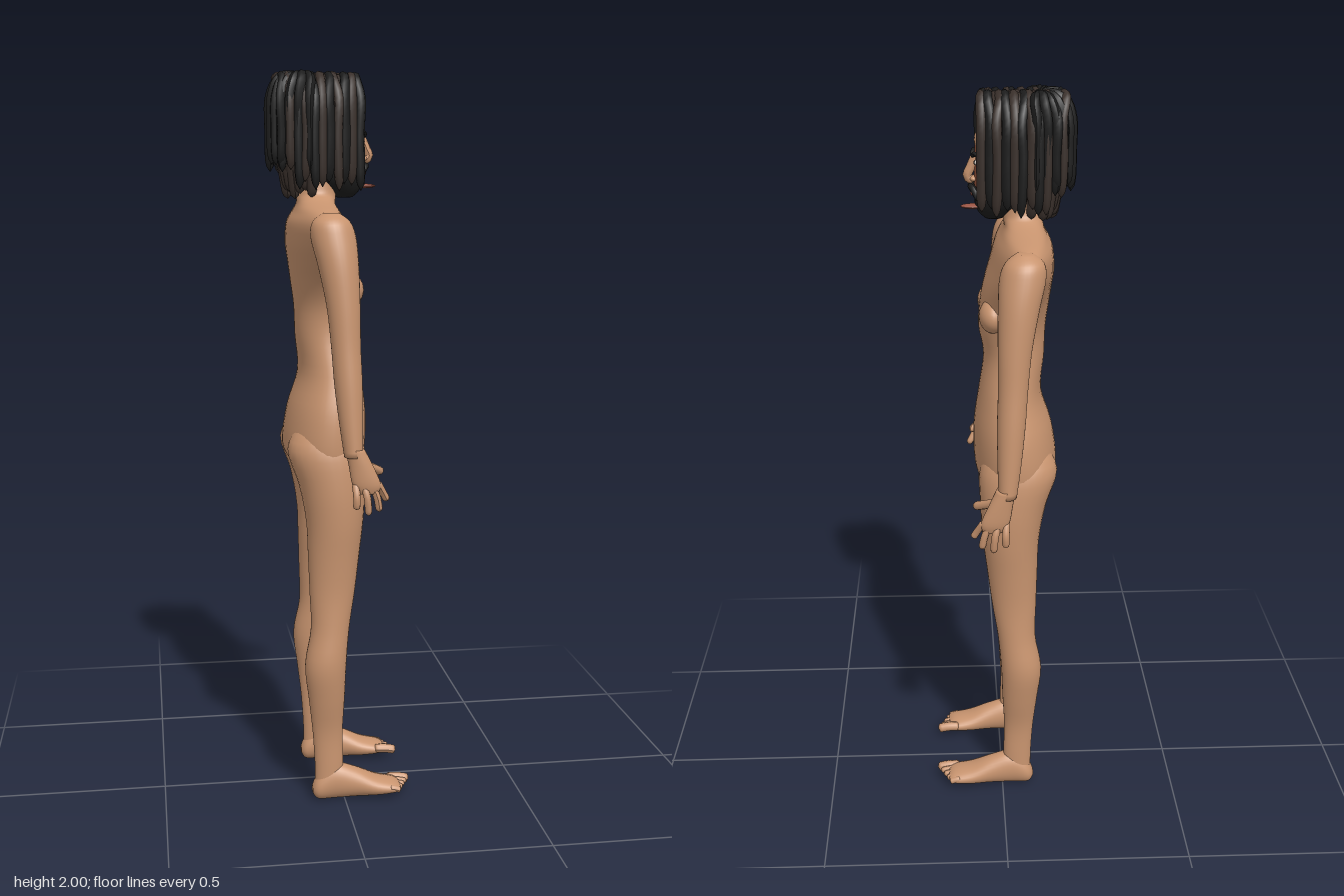
import * as THREE from 'three';
import { mergeGeometries } from 'three/addons/utils/BufferGeometryUtils.js';

const mat = (name, color) => {
  const m = new THREE.MeshStandardMaterial({ color });
  m.name = name;
  return m;
};

// Smooth body from stacked elliptical rings [y, centreX, centreZ, radiusX, radiusZ], y ascending
function loft(rings, sides = 32, steps = 4) {
  const rows = [];
  const at = (i) => rings[Math.min(rings.length - 1, Math.max(0, i))];
  for (let i = 0; i < rings.length - 1; i++) {
    for (let k = 0; k < steps; k++) {
      const t = k / steps;
      rows.push(at(i).map((b, d) => {
        const a = at(i - 1)[d], c = at(i + 1)[d], e = at(i + 2)[d];
        return b + 0.5 * t * (c - a + t * (2 * a - 5 * b + 4 * c - e + t * (3 * (b - c) + e - a)));
      }));
    }
  }
  rows.push(at(rings.length));
  const pos = [], idx = [];
  for (const [y, cx, cz, rx, rz] of rows) {
    for (let j = 0; j < sides; j++) {
      const t = (j / sides) * Math.PI * 2;
      pos.push(cx + rx * Math.cos(t), y, cz + rz * Math.sin(t));
    }
  }
  for (let i = 0; i < rows.length - 1; i++) {
    for (let j = 0; j < sides; j++) {
      const a = i * sides + j, b = i * sides + ((j + 1) % sides);
      idx.push(a, a + sides, b, b, a + sides, b + sides);
    }
  }
  // close both ends
  const n = rows.length, last = (n - 1) * sides;
  pos.push(rows[0][1], rows[0][0], rows[0][2], rows[n - 1][1], rows[n - 1][0], rows[n - 1][2]);
  for (let j = 0; j < sides; j++) {
    const k = (j + 1) % sides;
    idx.push(n * sides, j, k, n * sides + 1, last + k, last + j);
  }
  const g = new THREE.BufferGeometry();
  g.setAttribute('position', new THREE.Float32BufferAttribute(pos, 3));
  g.setIndex(idx);
  g.computeVertexNormals();
  return g;
}

// Round-ended strand through a few points
function strand(points, r, seg = 14, sides = 8) {
  const curve = new THREE.CatmullRomCurve3(points.map((p) => new THREE.Vector3(...p)));
  const g = new THREE.TubeGeometry(curve, seg, r, sides);
  const p = g.attributes.position, v = new THREE.Vector3();
  for (let i = 0; i <= seg; i++) {
    const u = i / seg, c = curve.getPointAt(u);
    const f = Math.sqrt(Math.max(0, 1 - (Math.max(0, Math.abs(2 * u - 1) - 0.7) / 0.3) ** 2));
    for (let j = 0; j <= sides; j++) {
      const k = i * (sides + 1) + j;
      v.fromBufferAttribute(p, k).sub(c).multiplyScalar(f).add(c);
      p.setXYZ(k, v.x, v.y, v.z);
    }
  }
  g.computeVertexNormals();
  return g;
}

const ball = (x, y, z, rx, ry, rz) =>
  new THREE.SphereGeometry(1, 24, 16).scale(rx, ry, rz).translate(x, y, z);

export function createModel() {
  const root = new THREE.Group();
  const skin = mat('skin', 0xc8946f), faceTone = mat('faceTone', 0x96553d);
  const hairDark = mat('hairDark', 0x1c1c1c), hairBrown = mat('hairBrown', 0x3a302b);
  const lipTone = mat('lip', 0x9a5545), white = mat('eyeWhite', 0xd8d0c8);
  const add = (name, geo, material) => {
    const m = new THREE.Mesh(geo, material);
    m.name = name;
    root.add(m);
  };

  // Torso, shoulders and neck
  add('torso', loft([
    [0.91, -0.03, 0, 0.06, 0.12], [0.95, -0.035, 0, 0.095, 0.175], [1.0, -0.04, 0, 0.113, 0.19],
    [1.1, -0.033, 0, 0.107, 0.183], [1.2, -0.025, 0, 0.085, 0.15], [1.3, -0.035, 0, 0.082, 0.117],
    [1.38, -0.03, 0, 0.09, 0.118], [1.45, -0.037, 0, 0.092, 0.15], [1.5, -0.045, 0, 0.09, 0.195],
    [1.55, -0.055, 0, 0.085, 0.24], [1.6, -0.06, 0, 0.075, 0.262], [1.63, -0.06, 0, 0.06, 0.235],
    [1.65, -0.06, 0, 0.052, 0.13], [1.665, -0.058, 0, 0.052, 0.075], [1.69, -0.055, 0, 0.052, 0.052],
    [1.77, -0.05, 0, 0.05, 0.05]], 48), skin);

  for (const s of [1, -1]) {
    const side = s > 0 ? 'Far' : 'Near';
    const mz = (rings) => rings.map(([y, x, z, a, b]) => [y, x, z * s, a, b]);
    add('chest' + side, ball(0.022, 1.425, 0.075 * s, 0.038, 0.045, 0.055), skin);

    // Arm and hand
    add('arm' + side, loft(mz([
      [1.02, -0.005, 0.327, 0.024, 0.028], [1.1, -0.01, 0.318, 0.03, 0.033],
      [1.2, -0.015, 0.304, 0.036, 0.04], [1.3, -0.02, 0.293, 0.038, 0.04],
      [1.4, -0.025, 0.282, 0.043, 0.044], [1.5, -0.035, 0.262, 0.052, 0.054],
      [1.57, -0.045, 0.243, 0.058, 0.058], [1.61, -0.05, 0.24, 0.048, 0.045],
      [1.632, -0.05, 0.232, 0.02, 0.02]])), skin);
    add('palm' + side, loft(mz([
      [0.925, 0.032, 0.337, 0.025, 0.01], [0.95, 0.027, 0.337, 0.037, 0.017],
      [1.0, 0.012, 0.334, 0.031, 0.021], [1.04, -0.002, 0.326, 0.025, 0.028]]), 20), skin);
    [[0, 0.885, 0.347], [0.032, 0.868, 0.345], [0.062, 0.875, 0.335], [0.085, 0.9, 0.318]].forEach(([x, y, z], i) =>
      add('finger' + side, strand([[-0.002 + 0.019 * i, 0.955, 0.336 * s],
        [x * 0.6 + 0.008 * i, 0.918, (z + 0.004) * s], [x, y, z * s]], 0.0095), skin));
    add('thumb' + side, strand([[0.012, 1.005, 0.325 * s], [0.045, 0.985, 0.295 * s], [0.08, 0.965, 0.262 * s]], 0.012), skin);

    // Leg
    add('leg' + side, loft(mz([
      [0.04, -0.045, 0.137, 0.038, 0.028], [0.1, -0.043, 0.137, 0.04, 0.027],
      [0.2, -0.047, 0.137, 0.042, 0.028], [0.3, -0.05, 0.142, 0.05, 0.042],
      [0.4, -0.053, 0.145, 0.057, 0.053], [0.5, -0.04, 0.137, 0.053, 0.05],
      [0.6, -0.033, 0.128, 0.062, 0.053], [0.7, -0.028, 0.12, 0.07, 0.066],
      [0.8, -0.024, 0.115, 0.078, 0.08], [0.9, -0.03, 0.108, 0.09, 0.09],
      [1.0, -0.045, 0.1, 0.105, 0.088], [1.07, -0.045, 0.09, 0.07, 0.06]])), skin);

    // Foot, lofted heel to ball, then toes
    add('foot' + side, loft(mz([
      [-0.09, -0.03, 0.137, 0.01, 0.012], [-0.075, -0.036, 0.137, 0.034, 0.029],
      [-0.03, -0.053, 0.137, 0.052, 0.034], [0.03, -0.046, 0.137, 0.043, 0.038],
      [0.09, -0.033, 0.136, 0.028, 0.045], [0.14, -0.029, 0.135, 0.018, 0.045],
      [0.157, -0.028, 0.135, 0.009, 0.038]])).rotateZ(-Math.PI / 2), skin);
    for (let i = 0; i < 5; i++) {
      const z = (0.1 + 0.018 * i) * s;
      add('toe' + side, strand([[0.125, 0.033, z], [0.16 - 0.006 * i, 0.032, z], [0.192 - 0.009 * i, 0.026, z]],
        i ? 0.009 : 0.014), skin);
    }

    // Eye, brow, ear side of moustache
    add('eye' + side, ball(0.06, 1.815, 0.027 * s, 0.008, 0.007, 0.012), white);
    add('pupil' + side, ball(0.065, 1.815, 0.027 * s, 0.005, 0.006, 0.006), hairDark);
    add('brow' + side, strand([[0.072, 1.828, 0.01 * s], [0.068, 1.837, 0.03 * s], [0.052, 1.83, 0.05 * s]], 0.006), hairDark);
    add('moustache' + side, strand([[0.078, 1.751, 0], [0.072, 1.748, 0.02 * s], [0.055, 1.72, 0.038 * s]], 0.009), hairDark);
  }

  // Head, forehead and nose
  add('head', loft([
    [1.68, 0.015, 0, 0.03, 0.028], [1.72, -0.008, 0, 0.068, 0.052], [1.76, -0.02, 0, 0.088, 0.06],
    [1.82, -0.03, 0, 0.096, 0.066], [1.88, -0.035, 0, 0.098, 0.07], [1.94, -0.045, 0, 0.085, 0.062]]), faceTone);
  add('forehead', ball(0.02, 1.868, 0, 0.048, 0.04, 0.05), skin);
  add('nose', strand([[0.058, 1.84, 0], [0.076, 1.8, 0], [0.085, 1.775, 0], [0.066, 1.762, 0]], 0.012), skin);
  add('nostrils', ball(0.07, 1.77, 0, 0.011, 0.008, 0.018), skin);

  // Beard and mouth
  add('beard', loft([
    [1.668, 0.018, 0, 0.022, 0.02], [1.685, 0.012, 0, 0.046, 0.038], [1.71, -0.002, 0, 0.069, 0.055],
    [1.735, -0.008, 0, 0.074, 0.061], [1.75, -0.016, 0, 0.072, 0.062]]), hairDark);
  add('mouth', ball(0.07, 1.732, 0, 0.008, 0.006, 0.02), lipTone);
  add('lowerLip', ball(0.072, 1.698, 0, 0.032, 0.006, 0.02), lipTone);

  // Hair mass under the locks
  add('hairCap', loft([
    [1.72, -0.09, 0, 0.06, 0.06], [1.78, -0.08, 0, 0.09, 0.085], [1.87, -0.075, 0, 0.1, 0.092],
    [1.91, -0.065, 0, 0.112, 0.092], [1.95, -0.063, 0, 0.115, 0.08], [1.98, -0.063, 0, 0.1, 0.055],
    [1.988, -0.063, 0, 0.07, 0.03]]), hairBrown);

  // Hanging locks in two alternating tones
  const locks = [[], []];
  let count = 0;
  const lock = (pts, r) => locks[count++ % 2].push(strand(pts, r, 20, 7));
  for (const s of [1, -1]) {
    for (let i = 0; i < 11; i++) { // over the sides
      const x = -0.155 + 0.0205 * i, q = 0.012 * Math.sin(i * 2.3 + s);
      const w = Math.max(0.066, 0.097 * Math.sqrt(1 - ((x + 0.06) / 0.135) ** 2));
      const bottom = (x < -0.13 ? 1.74 : 1.695) + q;
      lock([[x, 1.986, -0.008 * s], [x + q * 0.6, 1.975, w * 0.55 * s], [x - q * 0.3, 1.925, w * 0.93 * s],
        [x, 1.83, w * s], [x - q * 0.4, bottom, (w - 0.004) * s]], 0.0135);
    }
  }
  for (let i = 0; i < 13; i++) { // around the back, an outer and an inner layer
    const a = -1.35 + i * 0.225, c = Math.cos(a), d = Math.sin(a), q = 0.012 * Math.sin(i * 1.9);
    const fall = (k, y) => [-0.06 - 0.122 * k * c, y, 0.098 * k * d];
    lock([[-0.1, 1.985, 0.02 * d], fall(0.8, 1.975 + q * 0.2), fall(0.98, 1.93), fall(1, 1.84), fall(0.99, 1.745 + q)], 0.0135);
    lock([fall(0.7, 1.85), fall(0.72, 1.76), fall(0.6, 1.675 + q)], 0.014);
  }
  add('locksDark', mergeGeometries(locks[0]), hairDark);
  add('locksBrown', mergeGeometries(locks[1]), hairBrown);

  return root;
}
